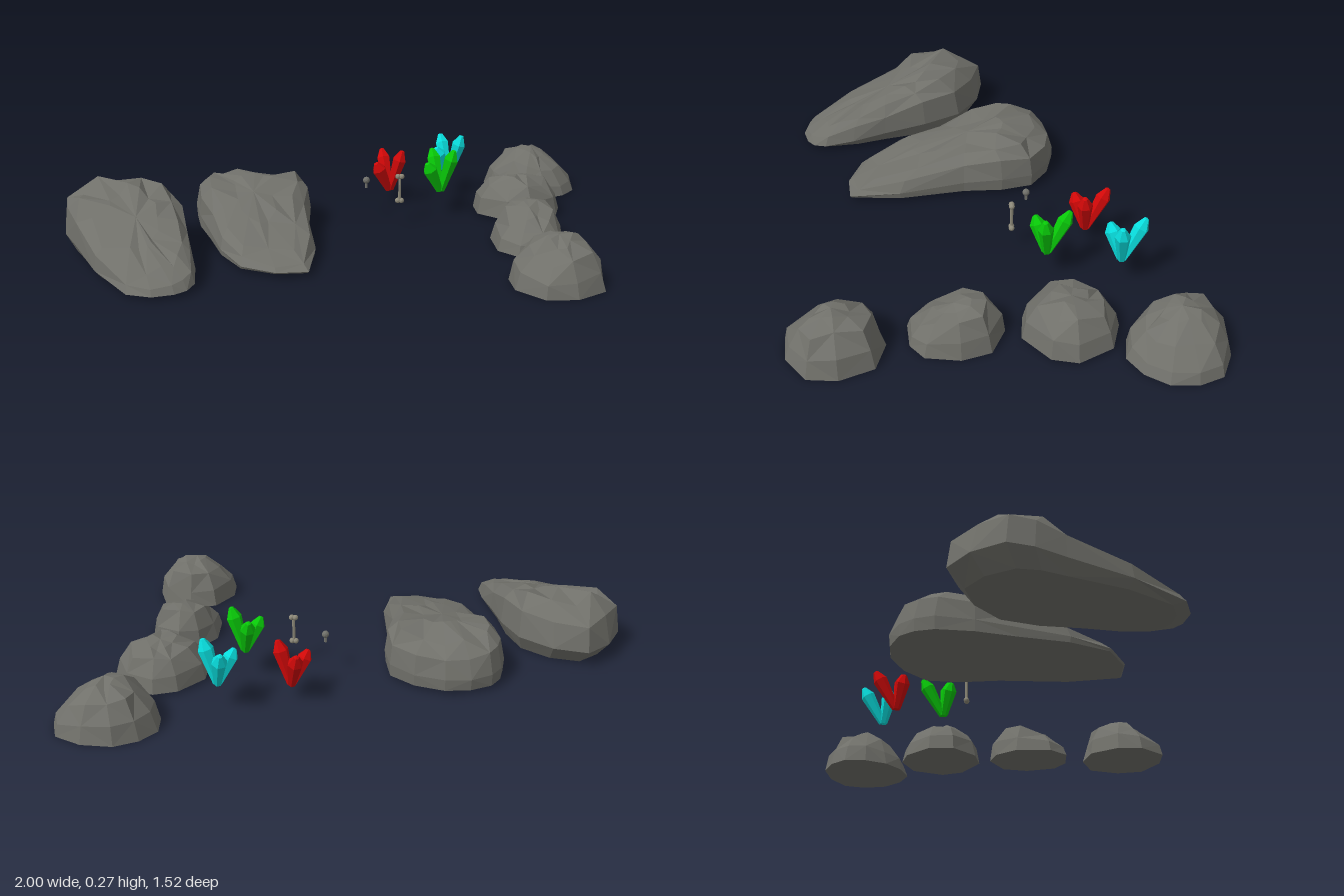
import * as THREE from 'three';

const material = (color) => new THREE.MeshStandardMaterial({ color, flatShading: true });
const stone = material(0x70706a);
const boneGrey = material(0x8c8878);

function seeded(seed) {
  let s = seed * 7919 + 17;
  return () => (s = (s * 16807) % 2147483647) / 2147483647 - 0.5;
}

// footprint: closed curve through a few [x, z] corners, clockwise from above
function curvedFootprint(corners) {
  const curve = new THREE.CatmullRomCurve3(
    corners.map(([x, z]) => new THREE.Vector3(x, 0, z)), true, 'centripetal');
  return curve.getPoints(corners.length * 2).slice(0, -1);
}

// footprint: uneven nine-sided oval, clockwise from above
function ovalFootprint(cx, cz, rx, rz, seed) {
  const rand = seeded(seed);
  return Array.from({ length: 9 }, (_, i) => {
    const a = ((i + rand() * 0.4) / 9) * Math.PI * 2;
    const k = 0.99 + rand() * 0.08;
    return new THREE.Vector3(cx + rx * k * Math.sin(a), 0, cz - rz * k * Math.cos(a));
  });
}

// ring rules as [share of height, footprint scale, roughness]
const steepSides = [[0.28, 1, 0.02], [0.74, 0.94, 0.06], [0.95, 0.74, 0.12], [1, 0.35, 0.12]];
const slopedSides = [[0.45, 0.9, 0.08], [0.83, 0.64, 0.16], [1, 0.28, 0.16]];

// Rock: a footprint lofted up through shrinking, roughened rings.
// heights are the crest heights, evenly spaced from back to front; fall lowers the crest towards +x.
function makeRock(name, seed, outline, { base, foot, heights, sides, fall = 0 }) {
  const rand = seeded(seed);
  const n = outline.length;
  const box = new THREE.Box3().setFromPoints(outline);
  const centre = outline.reduce((sum, p) => sum.add(p), new THREE.Vector3()).divideScalar(n);

  const crestAt = (x, z) => {
    const t = THREE.MathUtils.clamp((z - box.min.z) / (box.max.z - box.min.z), 0, 1);
    const f = t * (heights.length - 1);
    const i = Math.min(Math.floor(f), heights.length - 2);
    return THREE.MathUtils.lerp(heights[i], heights[i + 1], f - i) - fall * Math.max(0, x - centre.x);
  };

  const rings = [[0, foot, 0], ...sides].map(([share, scale, rough]) => outline.map((p) => {
    const k = scale + rand() * rough;
    const x = centre.x + (p.x - centre.x) * k;
    const z = centre.z + (p.z - centre.z) * (1 - (1 - k) * 0.85);
    const lift = Math.min(share * (1 + rand() * rough * 1.5), 1.02);
    return new THREE.Vector3(x, base + (crestAt(x, z) - base) * lift, z);
  }));

  const points = [];
  const top = rings[rings.length - 1];
  const peak = new THREE.Vector3(centre.x, crestAt(centre.x, centre.z), centre.z);
  const under = new THREE.Vector3(centre.x, base, centre.z);
  for (let i = 0; i < n; i++) {
    const j = (i + 1) % n;
    for (let r = 0; r < rings.length - 1; r++) {
      const a = rings[r], b = rings[r + 1];
      if ((i + r) % 2) points.push(a[j], a[i], b[i], a[j], b[i], b[j]);
      else points.push(a[j], a[i], b[j], a[i], b[i], b[j]);
    }
    points.push(peak, top[j], top[i], under, rings[0][i], rings[0][j]);
  }
  const geometry = new THREE.BufferGeometry().setFromPoints(points);
  geometry.computeVertexNormals();
  const mesh = new THREE.Mesh(geometry, stone);
  mesh.name = name;
  return mesh;
}

// Crystal cluster: three six-sided shards leaning out from one root
function makeCrystals(name, color, x, y, z) {
  const group = new THREE.Group();
  group.name = name;
  group.position.set(x, y, z);
  const mat = material(color);
  const tips = [[-0.035, 0.158, -0.085], [-0.058, 0.128, 0.04], [0.05, 0.174, 0.012]];
  tips.forEach((tip, i) => {
    const dir = new THREE.Vector3(...tip);
    const len = dir.length();
    const profile = [[0, 0], [0.015, 0.008], [0.029, len * 0.77], [0.01, len * 0.98], [0, len]];
    const shard = new THREE.Mesh(
      new THREE.LatheGeometry(profile.map((p) => new THREE.Vector2(...p)), 6), mat);
    shard.quaternion.setFromUnitVectors(new THREE.Vector3(0, 1, 0), dir.normalize());
    shard.name = 'shard' + (i + 1);
    group.add(shard);
  });
  return group;
}

// Upright bone: thin shaft with round knobs given as [x offset, y, radius]
function makeBone(name, mat, x, z, y0, y1, knobs) {
  const group = new THREE.Group();
  group.name = name;
  group.position.set(x, 0, z);
  const shaft = new THREE.Mesh(new THREE.CylinderGeometry(0.006, 0.006, y1 - y0, 6), mat);
  shaft.position.y = (y0 + y1) / 2;
  shaft.name = 'shaft';
  group.add(shaft);
  for (const [dx, y, radius] of knobs) {
    const knob = new THREE.Mesh(new THREE.IcosahedronGeometry(radius, 1), mat);
    knob.position.set(dx, y, 0);
    knob.name = 'knob';
    group.add(knob);
  }
  return group;
}

export function createModel() {
  const model = new THREE.Group();
  model.name = 'rocksAndCrystals';

  // two long sloping rocks
  const outer = curvedFootprint([[-0.87, 0.005], [-0.61, 0.11], [-0.5, 0.42], [-0.445, 0.67],
    [-0.5, 0.75], [-0.66, 0.75], [-0.92, 0.38], [-0.998, 0.2]]);
  const inner = curvedFootprint([[-0.34, -0.27], [-0.13, -0.17], [-0.1, 0.1], [-0.075, 0.545],
    [-0.31, 0.51], [-0.46, 0.2], [-0.55, -0.08], [-0.51, -0.21]]);
  // row of boulders
  const back = curvedFootprint([[0.75, -0.755], [0.965, -0.71], [0.995, -0.53], [0.865, -0.405],
    [0.69, -0.47], [0.625, -0.64]]);
  const midBack = ovalFootprint(0.72, -0.23, 0.175, 0.17, 21);
  const midFront = ovalFootprint(0.715, 0.155, 0.14, 0.173, 22);
  const front = ovalFootprint(0.765, 0.555, 0.168, 0.178, 23);
  const boulder = { base: 0.01, foot: 1, sides: slopedSides };

  model.add(
    makeRock('longRockOuter', 1, outer,
      { base: 0.01, foot: 0.85, sides: steepSides, heights: [0.232, 0.253, 0.185, 0.12, 0.05] }),
    makeRock('longRockInner', 2, inner,
      { base: 0.025, foot: 0.99, sides: steepSides, heights: [0.18, 0.205, 0.16, 0.11, 0.045] }),
    makeRock('boulderBack', 3, back, { ...boulder, heights: [0.17, 0.19, 0.12], fall: 0.45 }),
    makeRock('boulderMidBack', 4, midBack, { ...boulder, base: 0.02, heights: [0.14, 0.163, 0.17] }),
    makeRock('boulderMidFront', 5, midFront, { ...boulder, heights: [0.175, 0.15, 0.09] }),
    makeRock('boulderFront', 6, front, { ...boulder, heights: [0.15, 0.183, 0.11] }),
    makeCrystals('redCrystals', 0xd00808, 0.21, 0.057, -0.342),
    makeCrystals('greenCrystals', 0x08c808, 0.41, 0.103, -0.18),
    makeCrystals('cyanCrystals', 0x08dcdc, 0.457, 0.098, -0.442),
    makeBone('longBone', boneGrey, 0.245, -0.065, 0.095, 0.2,
      [[-0.007, 0.1, 0.011], [0.007, 0.1, 0.011], [-0.007, 0.197, 0.011], [0.007, 0.197, 0.011]]),
    makeBone('shortBone', stone, 0.115, -0.127, 0.132, 0.165, [[0, 0.163, 0.014]]),
  );
  return model;
}
